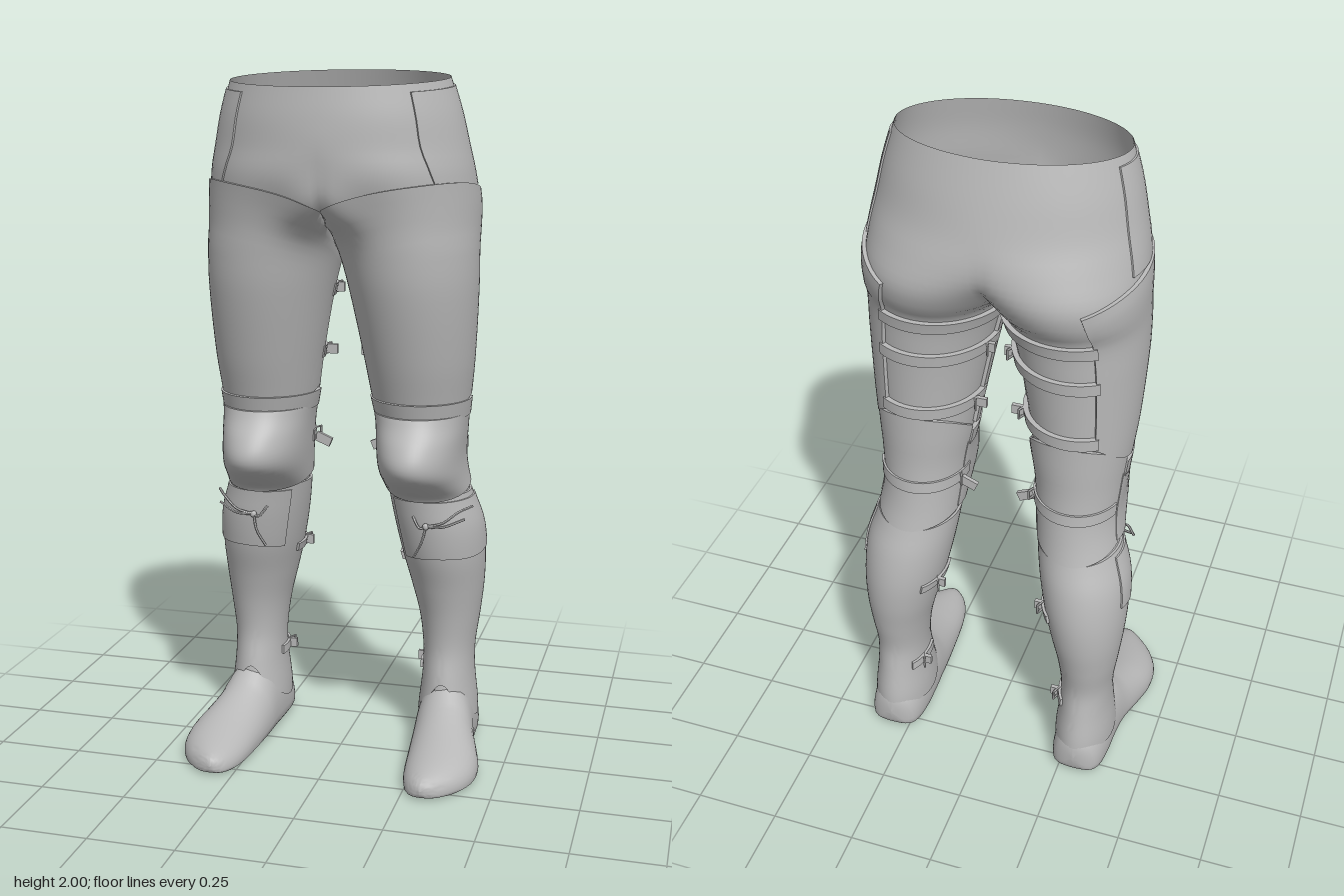
import * as THREE from 'three';
import { mergeGeometries, toCreasedNormals } from 'three/addons/utils/BufferGeometryUtils.js';

// left leg and half pelvis: [y, inner x, outer x, back z, front z]
const LEG = [
  [2.0, -.31, .31, -.205, .232], [1.9, -.337, .337, -.235, .243], [1.8, -.357, .357, -.262, .247],
  [1.72, -.25, .372, -.28, .238], [1.64, -.1, .38, -.285, .205], [1.57, -.03, .38, -.262, .188],
  [1.52, 0, .38, -.23, .183], [1.4, .035, .38, -.215, .168], [1.2, .075, .37, -.205, .123],
  [1.08, .095, .358, -.205, .09], [1.0, .11, .35, -.205, .07], [.9, .12, .345, -.215, .05],
  [.8, .13, .36, -.235, .02], [.7, .145, .39, -.27, .01], [.6, .165, .398, -.288, -.008],
  [.5, .19, .394, -.288, -.038], [.4, .215, .383, -.275, -.06], [.3, .228, .37, -.262, -.067],
  [.22, .228, .37, -.274, -.052], [.12, .218, .38, -.294, -.03], [.05, .215, .384, -.298, -.01],
];
// foot sections: [z, centre x, half width, bottom, top]
const FOOT = [
  [-.308, .30, 0, .06, .065], [-.302, .30, .035, .02, .11], [-.28, .30, .068, .003, .14],
  [-.22, .30, .084, 0, .17], [-.12, .302, .088, 0, .205], [-.06, .307, .09, 0, .2],
  [-.02, .313, .094, 0, .165], [.04, .324, .101, 0, .135], [.11, .335, .106, 0, .11],
  [.18, .336, .1, 0, .09], [.24, .328, .08, 0, .074], [.285, .317, .05, .003, .06],
  [.308, .312, .022, .01, .048], [.315, .31, 0, .025, .03],
];

// smooth interpolation through table rows, keyed on the first column
function sample(rows, key) {
  const n = rows.length, dir = Math.sign(rows[n - 1][0] - rows[0][0]);
  let i = 0;
  while (i < n - 2 && (key - rows[i + 1][0]) * dir > 0) i++;
  const a = rows[i], b = rows[i + 1], p = rows[Math.max(0, i - 1)], q = rows[Math.min(n - 1, i + 2)];
  const h = b[0] - a[0], t = THREE.MathUtils.clamp((key - a[0]) / h, 0, 1);
  return a.map((_, k) => {
    const m0 = (b[k] - p[k]) / (b[0] - p[0]) * h, m1 = (q[k] - a[k]) / (q[0] - a[0]) * h;
    const t2 = t * t, t3 = t2 * t;
    return (2 * t3 - 3 * t2 + 1) * a[k] + (t3 - 2 * t2 + t) * m0 + (3 * t2 - 2 * t3) * b[k] + (t3 - t2) * m1;
  });
}

// smooth curve through equally spaced values, t from 0 to 1
const through = (...v) => {
  const rows = v.map((y, i) => [i / (v.length - 1), y]);
  return t => sample(rows, t)[1];
};

// surface from a rule fn(u, v) => [x, y, z]
function grid(fn, nu, nv) {
  const pos = [], idx = [], w = nu + 1;
  for (let j = 0; j <= nv; j++) for (let i = 0; i <= nu; i++) pos.push(...fn(i / nu, j / nv));
  for (let j = 0; j < nv; j++) for (let i = 0; i < nu; i++) {
    const a = j * w + i;
    idx.push(a, a + 1, a + w, a + 1, a + w + 1, a + w);
  }
  const g = new THREE.BufferGeometry();
  g.setAttribute('position', new THREE.Float32BufferAttribute(pos, 3));
  g.setIndex(idx);
  return g;
}

// mirrored copy with the corner order reversed
function mirror(geo) {
  const g = (geo.index ? geo.toNonIndexed() : geo.clone()).scale(-1, 1, 1);
  for (const at of Object.values(g.attributes)) {
    const n = at.itemSize, a = at.array;
    for (let i = 0; i < a.length; i += 3 * n) for (let k = 0; k < n; k++) {
      [a[i + k], a[i + 2 * n + k]] = [a[i + 2 * n + k], a[i + k]];
    }
  }
  return g;
}

// angle at which a section meets the middle plane
function midAngle(y) {
  const [, xi, xo] = sample(LEG, y);
  return xi >= 0 ? Math.PI : Math.acos(THREE.MathUtils.clamp(-(xi + xo) / (xo - xi), -1, 1));
}

// point on the leg: angle 0 is outward, PI/2 is forward
function onLeg(ang, y, off = 0) {
  const [, xi, xo, zb, zf] = sample(LEG, y);
  const x = Math.max(0, (xi + xo) / 2 + ((xo - xi) / 2 + off) * Math.cos(ang));
  let z = (zb + zf) / 2 + ((zf - zb) / 2 + off) * Math.sin(ang);
  if (Math.sin(ang) > 0) z += .065 * Math.exp(-((x / .09) ** 2) - ((y - 1.62) / .07) ** 2);
  const tilt = .048 * Math.max(0, (z + .2) / .435) * THREE.MathUtils.clamp((y - 1.75) / .25, 0, 1);
  return [x, y - tilt, z];
}

// plate or strap following the leg, with turned-in rims
function shell(a0, a1, top, bottom, off, nu = 40, nv = 16, bulge = () => 0) {
  return grid((u, v) => {
    const rim = u === 0 || u === 1 || v === 0 || v === 1;
    const s = THREE.MathUtils.clamp((v * nv - 1) / (nv - 2), 0, 1);
    const t = THREE.MathUtils.clamp((u * nu - 1) / (nu - 2), 0, 1);
    const ang = a0 + (a1 - a0) * t, y = THREE.MathUtils.lerp(top(t), bottom(t), s);
    const p = onLeg(ang, y, rim ? 0 : off);
    p[2] += bulge(ang, y);
    return p;
  }, nu, nv);
}

export function createModel() {
  const model = new THREE.Group();
  model.name = 'legArmour';
  const steel = new THREE.MeshStandardMaterial({ color: 0xb8b8b8, side: THREE.DoubleSide });
  steel.name = 'plainGrey';
  const PI = Math.PI, flat = y => () => y;

  const put = (name, geo) => {
    const mesh = new THREE.Mesh(geo, steel);
    mesh.name = name;
    model.add(mesh);
  };
  const pair = (name, geo) => {
    const g = toCreasedNormals(geo, .75);
    put(name + 'Left', g);
    put(name + 'Right', mirror(g));
  };

  // hollow hose from waist to ankle, both halves joined at the middle
  const half = grid((u, v) => {
    const y = 2 - 1.95 * v;
    return onLeg((u * 2 - 1) * midAngle(y), y);
  }, 48, 90).toNonIndexed();
  put('hose', toCreasedNormals(mergeGeometries([half, mirror(half)]), 1.2));

  // hip panel
  pair('hipPanel', shell(-.35, .75, flat(1.975), flat(1.69), .005, 16, 12));

  // thigh plate
  pair('thighPlate', shell(-1.05, PI + .1, through(1.63, 1.67, 1.7, 1.69, 1.655, 1.6, 1.5),
    through(1.18, 1.11, 1.08, 1.065, 1.06, 1.07, 1.1), .011, 56, 24));

  // knee cup with its upper band, and the leather behind the knee
  const cup = [[1.06, .015], [1.02, .045], [.97, .092], [.92, .122], [.88, .118], [.84, .075], [.8, .018]];
  pair('kneeCup', shell(-.25, PI + .25, flat(1.045), through(.83, .8, .79, .8, .83), .011, 40, 22,
    (a, y) => sample(cup, y)[1] * Math.max(0, Math.sin(a)) ** .7));
  pair('kneeBand', shell(-.2, PI + .2, flat(1.085), flat(1.035), .014, 36, 6,
    a => .012 * Math.max(0, Math.sin(a))));
  pair('kneeBack', shell(-PI + .2, -.2, through(1.1, 1.16, 1.18, 1.16, 1.1),
    through(.82, .8, .79, .8, .82), .009, 28, 14));

  // shin plate, arched over the instep, and the laced panel above it
  pair('shinPlate', shell(-PI / 2, PI * 1.5, through(.79, .8, .8, .8, .79),
    through(.1, .09, .08, .13, .205, .13, .08, .09, .1), .007, 56, 36));
  pair('lacedPanel', shell(-.35, 2.4, flat(.785), through(.63, .61, .61, .6), .012, 30, 10));

  // foot
  const foot = grid((u, v) => {
    const z = FOOT[0][0] + .623 * (1 - Math.cos(PI * v)) / 2;
    const [, cx, hw, lo, hi] = sample(FOOT, z);
    const a = -u * 2 * PI, s = Math.sin(a), mid = lo + (hi - lo) * .22;
    const y = s > 0 ? mid + (hi - mid) * s : mid - (mid - lo) * Math.abs(s) ** .4;
    return [cx + Math.max(0, hw) * Math.cos(a), Math.max(0, y), z];
  }, 36, 40);
  pair('foot', foot);

  // straps: [height, start angle, end angle, width]
  const straps = [[1.5, -PI + .1, -1, .035], [1.385, -PI, -1, .035], [1.2, -PI, -1, .035],
    [.94, -PI, -.35, .035], [.58, -PI - .3, -PI + .8, .025], [.235, -PI - .3, -PI + .8, .025]];
  straps.forEach(([y, a0, a1, w], i) => {
    pair('strap' + i, shell(a0, a1, flat(y + w / 2), flat(y - w / 2), .015, 24, 4));
    if (i === 0) return;
    // buckle frame and loose strap end on the inner side
    const ang = -PI + .4, [x, , z] = onLeg(ang, y, .02);
    const frame = new THREE.TorusGeometry(.02, .004, 6, 4, PI * 2).rotateZ(PI / 4);
    frame.rotateY(-PI / 2 + .4).translate(x, y, z);
    const long = i === 3 ? .05 : i === 2 ? .035 : .022;
    const end = new THREE.BoxGeometry(long, .028, .012, 2, 1, 1);
    end.rotateZ(i === 3 ? .4 : 0).translate(x - long * .4, y - (i === 3 ? .02 : 0), z + .01);
    pair('buckle' + i, frame);
    pair('strapEnd' + i, end);
  });

  // lace tied below the knee
  const laces = [
    [[.26, .715, .03], [.31, .73, .035], [.35, .76, .02], [.385, .77, -.03]],
    [[.26, .715, .03], [.31, .72, .04], [.37, .74, .01]],
    [[.26, .715, .03], [.25, .67, .035], [.225, .62, .025]],
    [[.22, .74, .02], [.245, .71, .035], [.27, .72, .03]],
  ];
  laces.forEach((pts, i) => {
    const path = new THREE.CatmullRomCurve3(pts.map(p => new THREE.Vector3(...p)));
    pair('lace' + i, new THREE.TubeGeometry(path, 12, .004, 6));
  });
  pair('laceKnot', new THREE.SphereGeometry(.01, 10, 8).translate(.26, .715, .03));

  return model;
}
